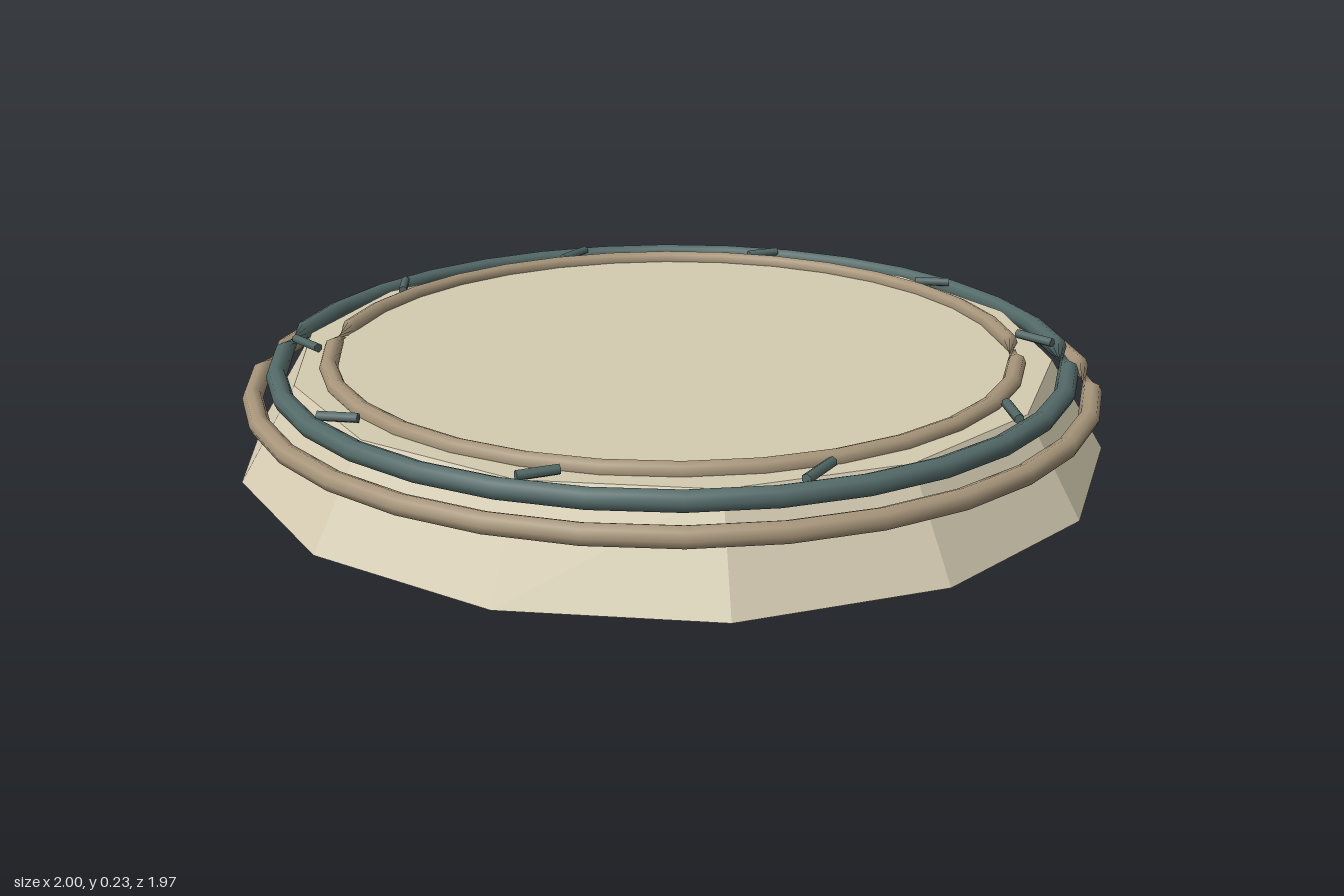
import * as THREE from 'three';

export function createModel() {
  const stone = new THREE.MeshStandardMaterial({ color: 0xd5ccb2 });
  stone.name = 'paleStone';
  const tan = new THREE.MeshStandardMaterial({ color: 0xa8967b });
  tan.name = 'tanCord';
  const teal = new THREE.MeshStandardMaterial({ color: 0x546b69 });
  teal.name = 'tealCord';

  const model = new THREE.Group();
  model.name = 'roundPlinth';
  const add = (name, geometry, material) => {
    const mesh = new THREE.Mesh(geometry, material);
    mesh.name = name;
    model.add(mesh);
    return mesh;
  };

  // Fourteen-sided tapered base with a corner on each end of the x axis
  const baseGeo = new THREE.CylinderGeometry(0.872, 1, 0.21, 14).rotateY(Math.PI / 2).toNonIndexed();
  baseGeo.translate(0, 0.105, 0);
  baseGeo.computeVertexNormals();
  add('base', baseGeo, stone);

  // Cord ring: half of its cross-sections are turned by 180 degrees,
  // which pinches the cord at two opposite places
  const SEGMENTS = 32, SIDES = 8;
  function cordRing(radius, tube) {
    const geo = new THREE.TorusGeometry(radius, tube, SIDES, SEGMENTS);
    const pos = geo.attributes.position, nor = geo.attributes.normal;
    for (let i = 0; i < pos.count; i++) {
      const u = i % (SEGMENTS + 1);
      if (u < 14 || u > 29) continue;
      const a = (u / SEGMENTS) * Math.PI * 2;
      const cx = radius * Math.cos(a), cy = radius * Math.sin(a);
      pos.setXYZ(i, 2 * cx - pos.getX(i), 2 * cy - pos.getY(i), -pos.getZ(i));
      nor.setXYZ(i, -nor.getX(i), -nor.getY(i), -nor.getZ(i));
    }
    return geo.rotateX(Math.PI / 2);
  }
  const rings = [
    ['outerRing', 0.96, 0.023, 0.155, tan],
    ['middleRing', 0.905, 0.023, 0.202, teal],
    ['innerRing', 0.79, 0.021, 0.214, tan],
  ];
  for (const [name, radius, tube, y, material] of rings) {
    add(name, cordRing(radius, tube), material).position.y = y;
  }

  // Small pegs between the rings, repeated with a half turn: x1, z1, x2, z2
  const pegs = [
    [-0.2, -0.86, -0.25, -0.79],
    [0.34, -0.82, 0.26, -0.785],
    [0.66, -0.485, 0.755, -0.46],
    [0.82, -0.01, 0.88, 0.07],
    [0.665, 0.48, 0.665, 0.585],
  ];
  for (const [x1, z1, x2, z2] of pegs) {
    for (const s of [1, -1]) {
      const dx = s * (x2 - x1), dz = s * (z2 - z1);
      const geo = new THREE.CylinderGeometry(0.011, 0.011, Math.hypot(dx, dz), 6).rotateX(Math.PI / 2);
      const peg = add('peg', geo, teal);
      peg.position.set((s * (x1 + x2)) / 2, 0.223, (s * (z1 + z2)) / 2);
      peg.rotation.y = Math.atan2(dx, dz);
    }
  }
  return model;
}
